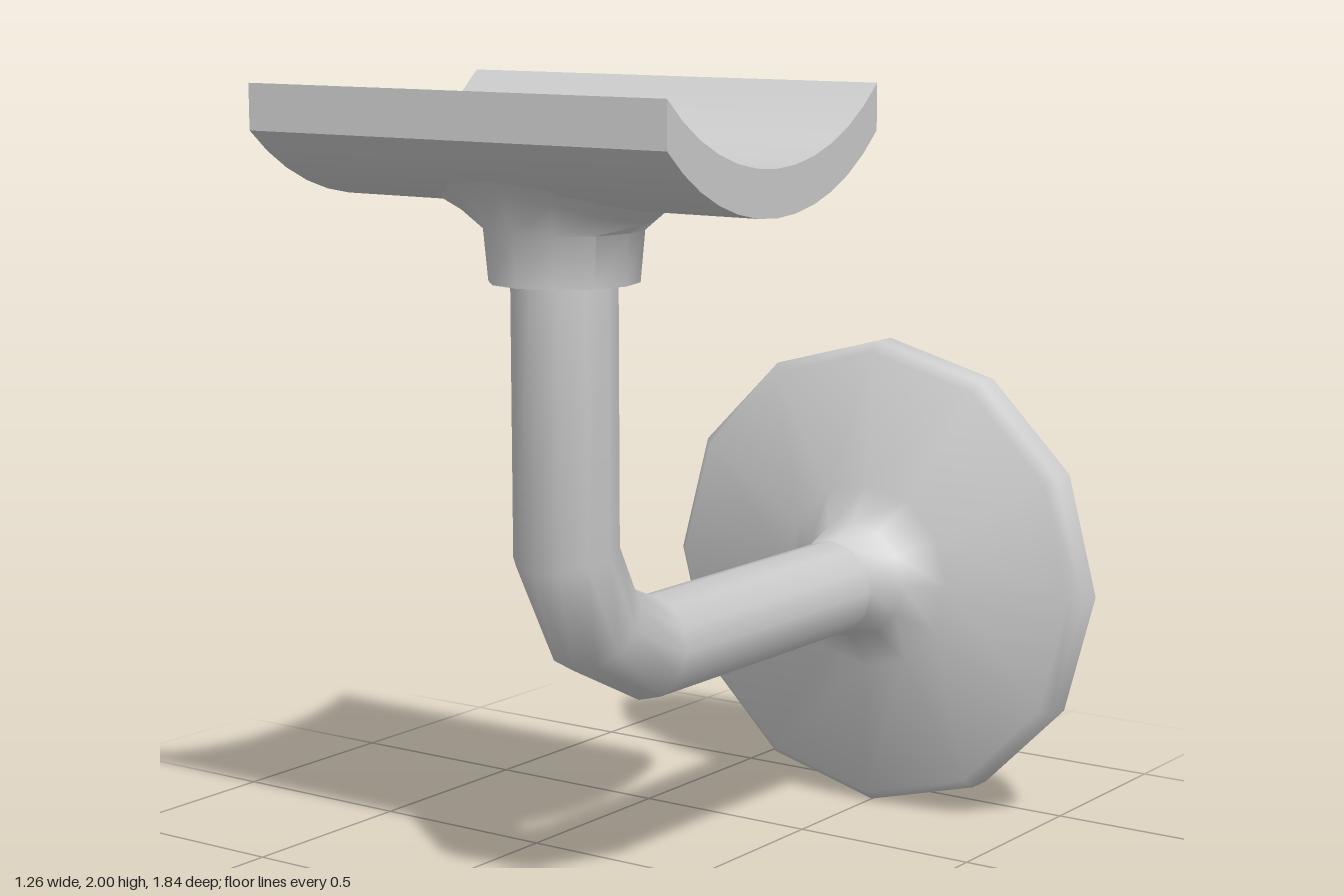
import * as THREE from 'three';
import { toCreasedNormals } from 'three/addons/utils/BufferGeometryUtils.js';

const SIDES = 12;
const AXIS_Y = 0.632;   // height of the horizontal arm
const POST_Z = 0.513;   // depth of the upright post
const BOTTOM = 1.725;   // lowest point of the saddle
const SADDLE_R = 0.577;

// Underside height of the saddle at a distance d from its middle
const saddleY = (d) => BOTTOM + SADDLE_R - Math.sqrt(SADDLE_R * SADDLE_R - d * d);

// Skin a run of rings; each ring is a function (cos, sin) => [x, y, z]
function loft(rings, capStart) {
  const pos = [], index = [];
  for (const ring of rings) {
    for (let j = 0; j < SIDES; j++) {
      const a = (j / SIDES) * Math.PI * 2;
      pos.push(...ring(Math.cos(a), Math.sin(a)));
    }
  }
  for (let i = 0; i < rings.length - 1; i++) {
    for (let j = 0; j < SIDES; j++) {
      const k = (j + 1) % SIDES;
      const a = i * SIDES + j, b = i * SIDES + k;
      index.push(a, b, b + SIDES, a, b + SIDES, a + SIDES);
    }
  }
  if (capStart) {
    for (let j = 1; j < SIDES - 1; j++) index.push(0, j + 1, j);
  }
  const geo = new THREE.BufferGeometry();
  geo.setAttribute('position', new THREE.Float32BufferAttribute(pos, 3));
  geo.setIndex(index);
  return toCreasedNormals(geo, 1.0);
}

export function createModel() {
  const group = new THREE.Group();
  const material = new THREE.MeshStandardMaterial({ color: 0xcccccc, side: THREE.DoubleSide });
  const add = (name, geo) => {
    const mesh = new THREE.Mesh(geo, material);
    mesh.name = name;
    group.add(mesh);
  };

  // Wall flange flaring into the arm: [z, radius]
  const flange = [
    [-0.92, 0.632], [-0.85, 0.632], [-0.822, 0.605],
    [-0.807, 0.25], [-0.74, 0.157], [-0.63, 0.125],
  ].map(([z, r]) => (c, s) => [r * c, AXIS_Y + r * s, z]);
  add('wallFlange', loft(flange, true));

  // Bent arm: each ring spans an outer and an inner point [z, y, z, y]
  const arm = [
    [-0.63, 0.507, -0.63, 0.757],
    [0.23, 0.507, 0.18, 0.757],
    [0.495, 0.635, 0.32, 0.815],
    [0.637, 0.89, 0.389, 0.95],
    [0.637, 1.6, 0.389, 1.6],
  ].map(([oz, oy, iz, iy]) => (c, s) => [
    0.125 * c,
    (oy + iy) / 2 + ((iy - oy) / 2) * s,
    (oz + iz) / 2 + ((iz - oz) / 2) * s,
  ]);
  add('arm', loft(arm, false));

  // Collar flaring up to meet the curved underside of the saddle
  const collar = [
    [0.175, () => 1.55],
    [0.186, () => 1.67],
    [0.235, (s) => 1.695 + 0.07 * s * s],
    [0.295, (s) => saddleY(0.295 * s) + 0.004],
  ].map(([r, y]) => (c, s) => [r * c, y(s), POST_Z - r * s]);
  add('collar', loft(collar, true));

  // Saddle: an arc of even vertical thickness, extruded along x
  const half = 0.407, steps = 12, thick = 0.107;
  const span = Math.asin(half / SADDLE_R);
  const lower = [];
  for (let i = 0; i <= steps; i++) {
    const d = SADDLE_R * Math.sin(span * (2 * i / steps - 1));
    lower.push(new THREE.Vector2(d, saddleY(d)));
  }
  const upper = lower.map((p) => new THREE.Vector2(p.x, p.y + thick)).reverse();
  const saddle = new THREE.ExtrudeGeometry(new THREE.Shape([...lower, ...upper]), {
    depth: 1.16, bevelEnabled: false,
  });
  saddle.translate(0, 0, -0.58).rotateY(Math.PI / 2).translate(0, 0, POST_Z);
  add('saddle', toCreasedNormals(saddle, 0.4));

  return group;
}
